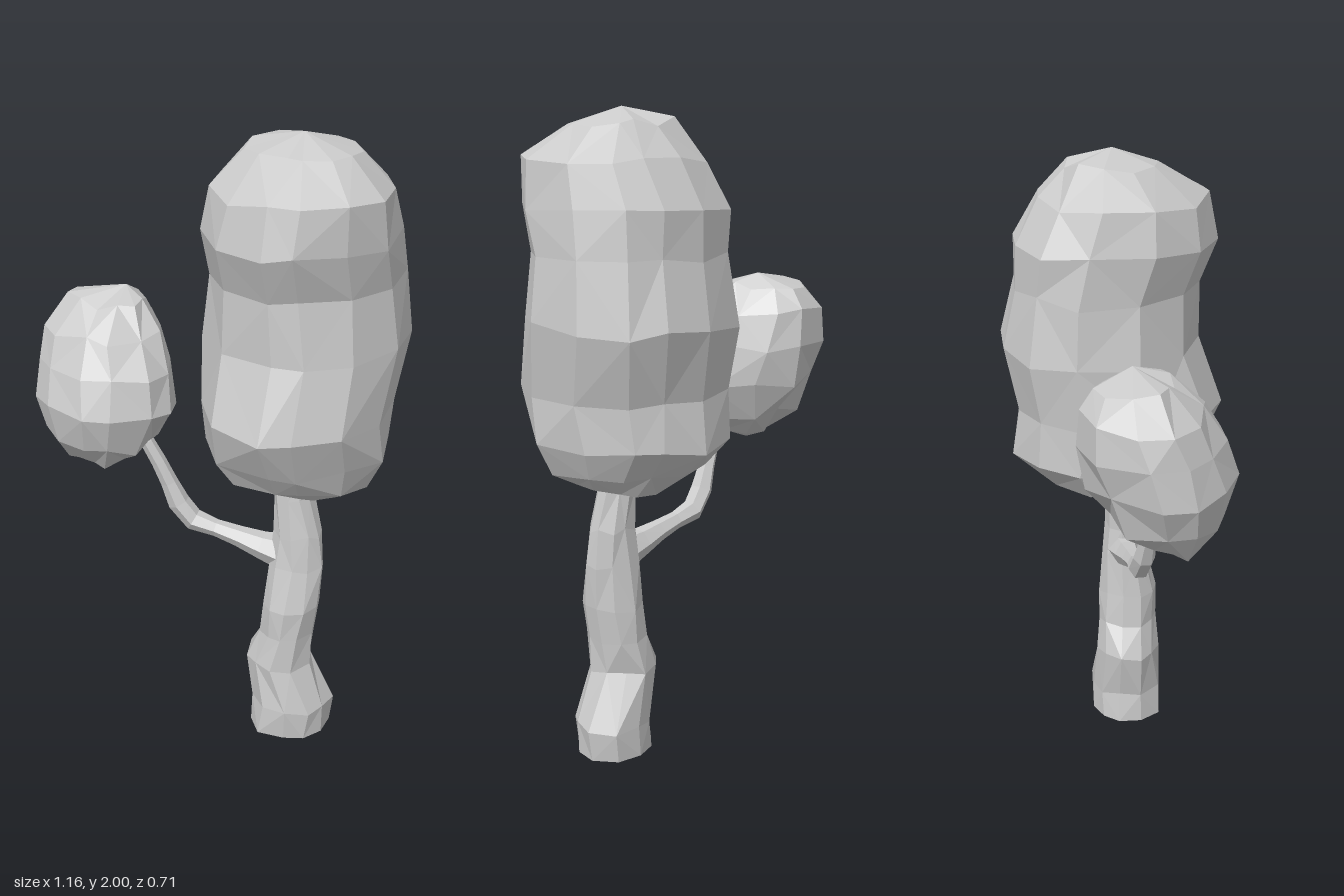
import * as THREE from 'three';

const material = new THREE.MeshStandardMaterial({
  color: 0xcccccc, flatShading: true, side: THREE.DoubleSide,
});

// Repeatable value in -1..1
function seeded(seed) {
  let s = seed;
  return () => {
    s = (s * 16807) % 2147483647;
    return (s / 2147483647) * 2 - 1;
  };
}

// Lofts an outline (unit square, x/z) through rings listed from the bottom up and
// closes both ends with a fan. Ring: [y, xMin, xMax, zMin, zMax, cornerA, cornerB],
// where the last two swell (+) or flatten (-) the +x/-z and the -x/+z corner.
function loft(name, outline, rings, { jitter, seed, bottom, top }) {
  const rand = seeded(seed);
  const n = outline.length;
  const positions = [];
  const index = [];
  rings.forEach(([y, x0, x1, z0, z1, cornerA = 0, cornerB = 0]) => {
    const wobble = bottom[1] === y ? 0 : jitter;
    for (const [u, v] of outline) {
      const swell = 1 + Math.max(0, -u * v) * (u > v ? cornerA : cornerB);
      positions.push(
        (x0 + x1) / 2 + (u * swell * (x1 - x0)) / 2 + rand() * jitter * 0.6,
        y + rand() * wobble,
        (z0 + z1) / 2 + (v * swell * (z1 - z0)) / 2 + rand() * jitter * 0.6,
      );
    }
  });
  for (let i = 0; i < rings.length - 1; i++) {
    for (let j = 0; j < n; j++) {
      const a = i * n + j, b = i * n + ((j + 1) % n);
      const c = a + n, d = b + n;
      if ((i + j) % 2) index.push(a, c, b, b, c, d);
      else index.push(a, c, d, a, d, b);
    }
  }
  const low = rings.length * n, high = low + 1, last = low - n;
  positions.push(...bottom, ...top);
  for (let j = 0; j < n; j++) {
    const k = (j + 1) % n;
    index.push(low, j, k, high, last + k, last + j);
  }
  const geometry = new THREE.BufferGeometry();
  geometry.setAttribute('position', new THREE.Float32BufferAttribute(positions, 3));
  geometry.setIndex(index);
  geometry.computeVertexNormals();
  const mesh = new THREE.Mesh(geometry, material);
  mesh.name = name;
  return mesh;
}

// Regular outline, running from the back round by +x
const regular = (n) => Array.from({ length: n }, (_, i) => {
  const a = (i / n) * Math.PI * 2;
  return [Math.sin(a), -Math.cos(a)];
});

// Thin bent limb that tapers away from the trunk
function branch() {
  const points = [
    [0.24, 0.645, 0.035], [0.16, 0.66, 0.035], [0.05, 0.69, 0.035], [-0.07, 0.72, 0.035],
    [-0.11, 0.77, 0.04], [-0.16, 0.89, 0.05], [-0.21, 0.99, 0.06], [-0.25, 1.06, 0.06],
  ].map((p) => new THREE.Vector3(...p));
  const curve = new THREE.CatmullRomCurve3(points);
  const steps = 9, sides = 6;
  const geometry = new THREE.TubeGeometry(curve, steps, 1, sides, false);
  const pos = geometry.attributes.position;
  const radii = [0.06, 0.045, 0.034, 0.028, 0.036, 0.036, 0.028, 0.025, 0.023, 0.02];
  const v = new THREE.Vector3();
  for (let i = 0; i < pos.count; i++) {
    const ring = Math.floor(i / (sides + 1));
    const centre = curve.getPointAt(ring / steps);
    v.fromBufferAttribute(pos, i).sub(centre).multiplyScalar(radii[ring]).add(centre);
    pos.setXYZ(i, v.x, v.y, v.z);
  }
  geometry.computeVertexNormals();
  const mesh = new THREE.Mesh(geometry, material);
  mesh.name = 'branch';
  return mesh;
}

export function createModel() {
  const tree = new THREE.Group();
  tree.name = 'tree';

  // Crooked trunk, flat on the ground
  tree.add(loft('trunk', regular(10), [
    [0, 0.15, 0.4, -0.07, 0.16, 0.25, 0.25],
    [0.1, 0.155, 0.405, -0.075, 0.165, 0.3, 0.2],
    [0.26, 0.12, 0.345, -0.065, 0.155, -0.45, -0.2],
    [0.37, 0.17, 0.35, -0.055, 0.15, -0.15, -0.1],
    [0.48, 0.18, 0.365, -0.045, 0.15],
    [0.62, 0.19, 0.37, -0.035, 0.115],
    [0.73, 0.2, 0.36, -0.03, 0.1],
    [0.86, 0.2, 0.325, -0.03, 0.09],
    [1.0, 0.2, 0.315, -0.03, 0.08],
  ], { jitter: 0.01, seed: 11, bottom: [0.275, 0, 0.045], top: [0.26, 1, 0.03] }));

  tree.add(branch());

  // Tall main crown with a waist on its front
  const crownOutline = [
    [-0.07, -1], [0.43, -0.97], [0.77, -0.85], [1, -0.39], [0.97, 0.28], [0.66, 0.73],
    [0.2, 0.96], [-0.1, 1], [-0.67, 0.75], [-1, 0.22], [-1, -0.4], [-0.67, -0.81],
  ];
  tree.add(loft('mainCrown', crownOutline, [
    [0.89, 0.17, 0.45, -0.17, 0.12],
    [0.945, 0.04, 0.51, -0.26, 0.23, -0.2, 0.15],
    [1.03, -0.01, 0.545, -0.33, 0.28, -0.22, 0.18],
    [1.17, -0.03, 0.55, -0.32, 0.35, -0.12, 0],
    [1.38, -0.03, 0.57, -0.35, 0.285, 0.04, 0],
    [1.57, -0.015, 0.545, -0.315, 0.27, 0.04, 0],
    [1.72, -0.03, 0.54, -0.3, 0.33, 0.04, -0.1],
    [1.85, 0, 0.525, -0.23, 0.305, 0, -0.08],
    [1.955, 0.1, 0.42, -0.14, 0.15],
  ], { jitter: 0.015, seed: 23, bottom: [0.3, 0.88, -0.03], top: [0.26, 2, 0] }));

  // Small crown carried by the branch, leaning forward at its base
  const smallOutline = [
    [0.1, -1], [0.55, -0.75], [0.85, -0.2], [1, 0.3], [0.85, 0.7], [0.4, 1],
    [0, 0.97], [-0.6, 0.7], [-0.95, 0.3], [-1, -0.2], [-0.55, -0.8],
  ];
  tree.add(loft('smallCrown', smallOutline, [
    [0.945, -0.46, -0.24, -0.01, 0.18, 0.2, 0],
    [1.02, -0.53, -0.17, -0.1, 0.24, 0.2, 0],
    [1.13, -0.575, -0.105, -0.16, 0.28, 0.15, -0.08],
    [1.25, -0.57, -0.125, -0.2, 0.25, 0.08, -0.08],
    [1.36, -0.55, -0.165, -0.2, 0.18, 0, 0.05],
    [1.44, -0.47, -0.225, -0.14, 0.09, 0, 0.1],
  ], { jitter: 0.018, seed: 57, bottom: [-0.37, 0.91, 0.08], top: [-0.3, 1.48, -0.03] }));

  return tree;
}
